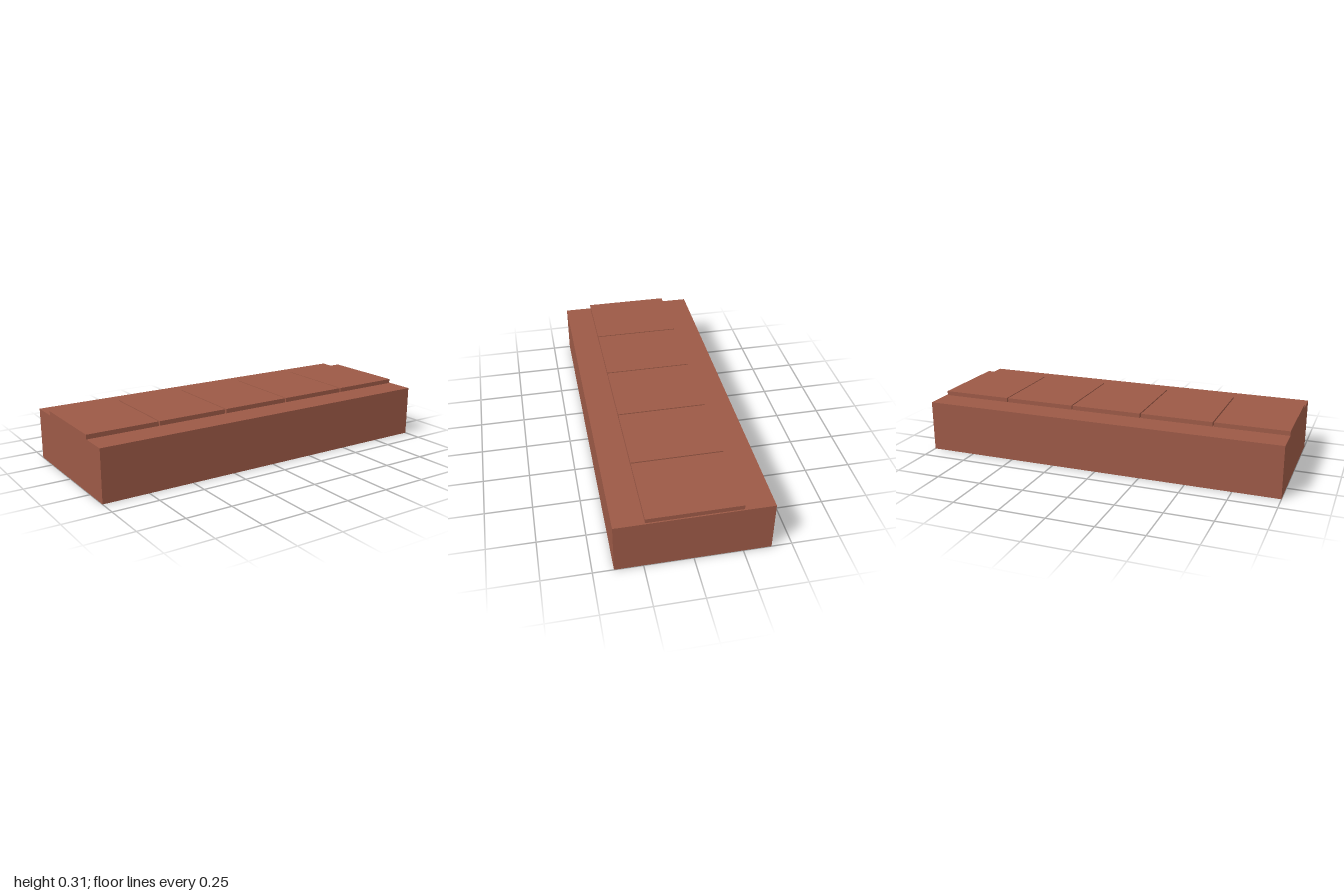
import * as THREE from 'three';

export function createModel() {
  const model = new THREE.Group();
  model.name = 'tiledBlock';
  const clay = new THREE.MeshStandardMaterial({ color: 0x9c5946 });
  clay.name = 'clayRed';

  // Box spanning x0..x1 and y0..y1, centred on z
  function addBox(name, x0, x1, y0, y1, depth) {
    const mesh = new THREE.Mesh(new THREE.BoxGeometry(x1 - x0, y1 - y0, depth), clay);
    mesh.position.set((x0 + x1) / 2, (y0 + y1) / 2, 0);
    mesh.name = name;
    model.add(mesh);
  }

  // Solid base block
  const baseTop = 0.281;
  addBox('base', -1, 1, 0, baseTop, 0.79);

  // Row of five raised slabs, each followed by a narrow gap
  const pitch = 0.4, width = 0.393;
  for (let i = 0; i < 5; i++) {
    const x = -1 + i * pitch;
    addBox(`topSlab${i + 1}`, x, x + width, baseTop, 0.305, 0.48);
  }
  return model;
}
